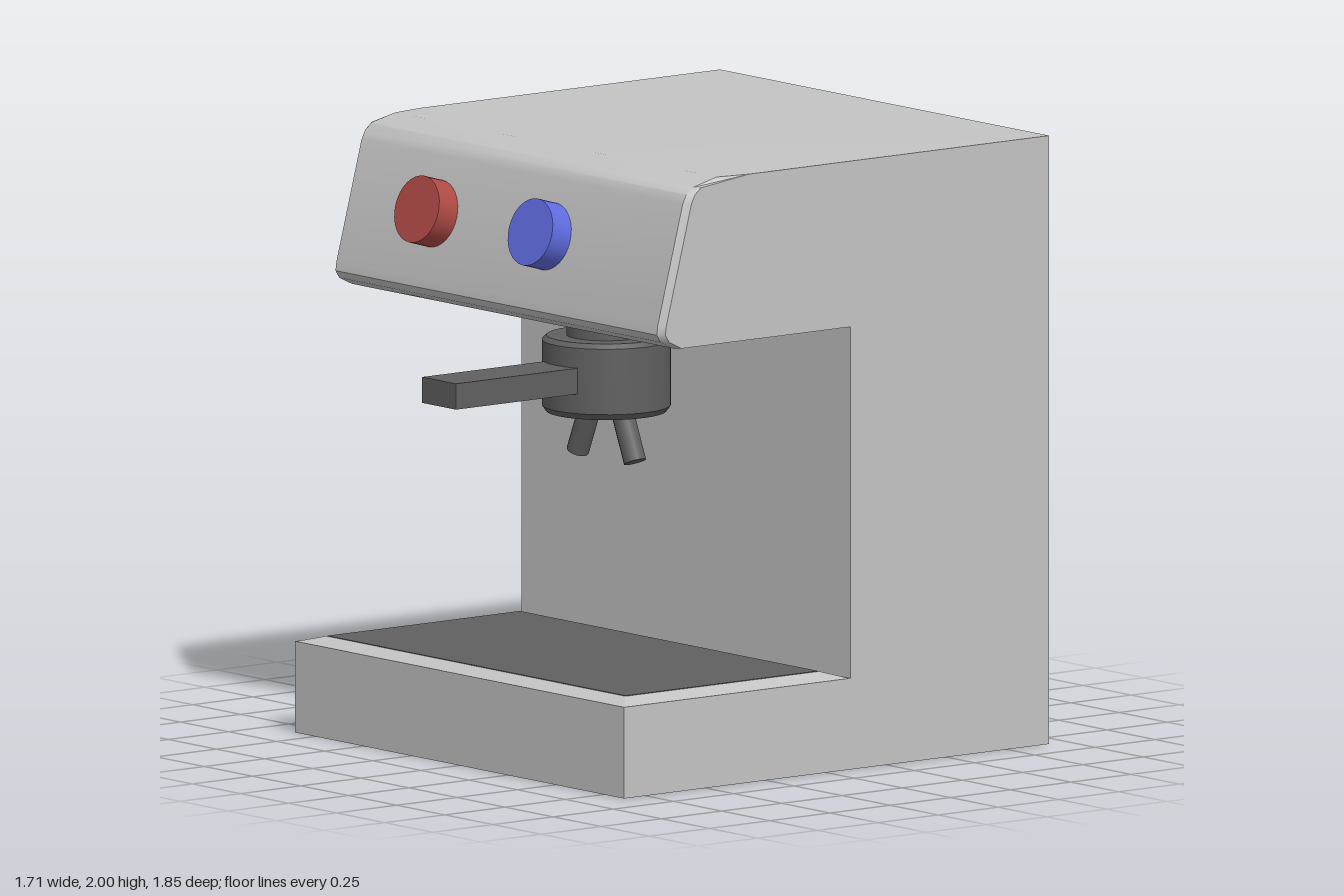
import * as THREE from 'three';
import { toCreasedNormals } from 'three/addons/utils/BufferGeometryUtils.js';

const HALF = 0.855;

function material(name, color) {
  const m = new THREE.MeshStandardMaterial({ color });
  m.name = name;
  return m;
}

export function createModel() {
  const group = new THREE.Group();
  const silver = material('silver', 0xc4c4c4);
  const dark = material('darkGrey', 0x606060);
  const red = material('red', 0xb04a45);
  const blue = material('blue', 0x606ce0);

  function add(name, geometry, mat, x = 0, y = 0, z = 0) {
    const mesh = new THREE.Mesh(geometry, mat);
    mesh.name = name;
    mesh.position.set(x, y, z);
    group.add(mesh);
    return mesh;
  }

  // C-shaped housing: side profile as (z, y), extruded across the width
  const profile = [
    [-0.925, 0], [0.84, 0], [0.84, 0.3], [-0.1, 0.3], [-0.1, 1.455],
    [0.62, 1.455], [0.672, 1.48], [0.688, 1.505], [0.684, 1.535],
    [0.58, 1.925], [0.565, 1.955], [0.54, 1.975], [0.44, 2], [-0.925, 2],
  ].map(([z, y]) => new THREE.Vector2(z, y));
  const housing = new THREE.ExtrudeGeometry(new THREE.Shape(profile), { depth: 3, steps: 3, bevelEnabled: false });
  const stations = [-HALF, -HALF + 0.02, HALF - 0.02, HALF];
  const p = housing.attributes.position;
  for (let i = 0; i < p.count; i++) {
    const step = Math.round(p.getZ(i));
    // pull the front of the head back at both ends to chamfer its sides
    if ((step === 0 || step === 3) && p.getX(i) > 0.4 && p.getY(i) > 1.4) {
      p.setX(i, p.getY(i) > 1.99 ? 0.32 : p.getX(i) - 0.02);
    }
    p.setZ(i, stations[step]);
  }
  housing.rotateY(-Math.PI / 2);
  add('housing', toCreasedNormals(housing, 0.6), silver);

  // Tray rim: a low box narrowing towards its top
  const rim = new THREE.BoxGeometry(HALF * 2, 0.02, 0.94);
  const r = rim.attributes.position;
  for (let i = 0; i < r.count; i++) {
    if (r.getY(i) > 0) {
      r.setX(i, Math.sign(r.getX(i)) * 0.78);
      r.setZ(i, Math.sign(r.getZ(i)) * 0.405);
    }
  }
  add('trayRim', toCreasedNormals(rim, 0.1), silver, 0, 0.309, 0.37);
  add('dripTray', new THREE.BoxGeometry(1.55, 0.006, 0.8), dark, 0, 0.318, 0.37);

  // Control knobs, square to the sloping front
  for (const [name, mat, x] of [['redKnob', red, -0.39], ['blueKnob', blue, 0.2]]) {
    const knob = add(name, new THREE.CylinderGeometry(0.111, 0.111, 0.085, 32), mat, x, 1.754, 0.665);
    knob.rotation.x = Math.PI / 2 - 0.28;
  }

  // Brewing head
  const headZ = 0.23;
  add('brewNeck', new THREE.CylinderGeometry(0.13, 0.13, 0.13, 32), dark, 0, 1.395, headZ);
  const cup = new THREE.LatheGeometry(
    [[0, 1.105], [0.195, 1.105], [0.21, 1.125], [0.21, 1.34], [0.195, 1.355], [0, 1.355]]
      .map(([x, y]) => new THREE.Vector2(x, y)), 32);
  add('filterHolder', toCreasedNormals(cup, 0.6), dark, 0, 0, headZ);
  add('handle', new THREE.BoxGeometry(0.176, 0.085, 0.525), dark, 0, 1.232, 0.6625);

  // Twin spouts splayed outwards
  for (const side of [-1, 1]) {
    const spout = add(side < 0 ? 'rightSpout' : 'leftSpout',
      new THREE.CylinderGeometry(0.037, 0.037, 0.2, 16), dark, side * 0.11, 1.047, headZ);
    spout.rotation.z = side * 0.4;
  }
  return group;
}
